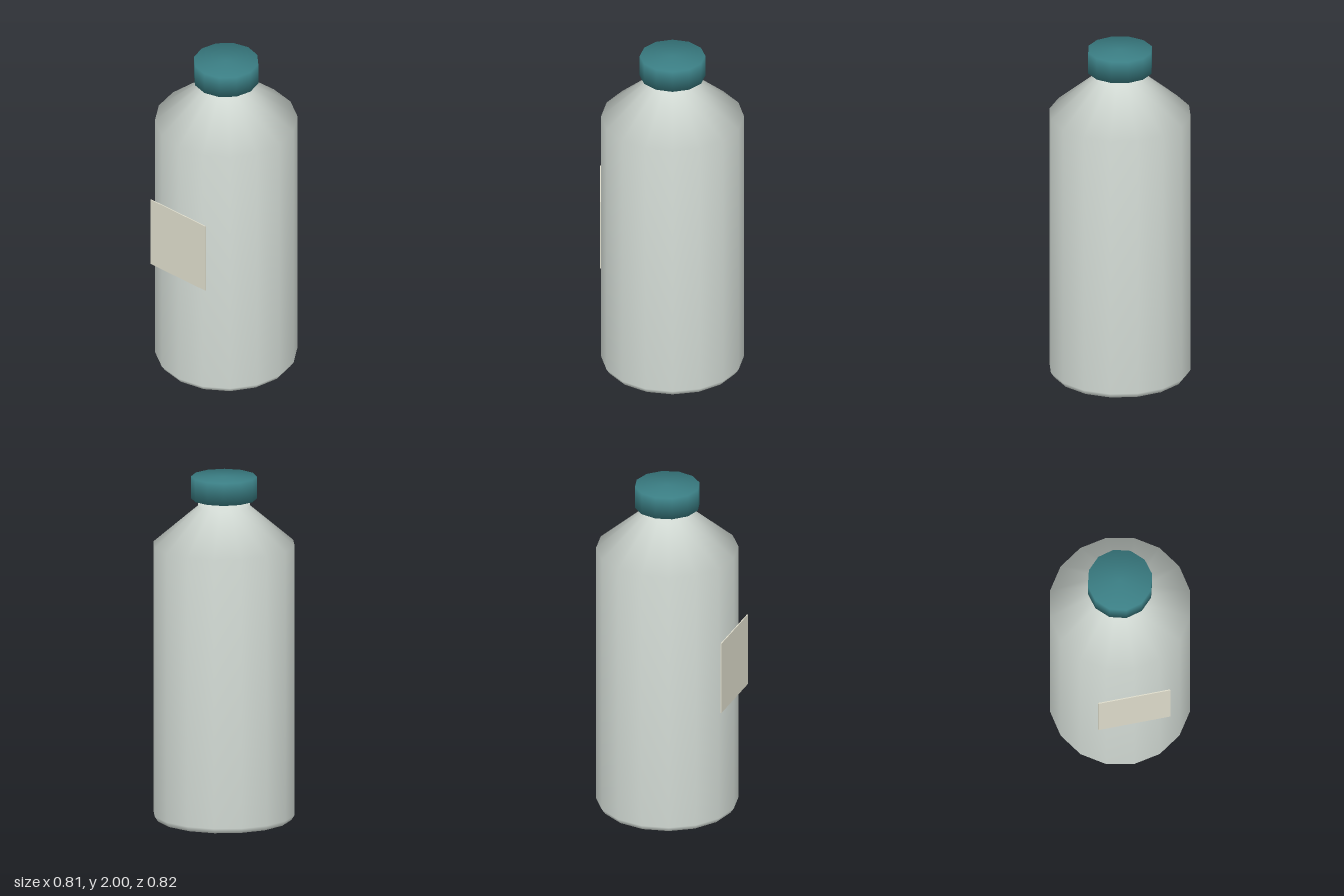
import * as THREE from 'three';

const CENTER_Z = -0.003;

// Smooth-shaded solid of revolution from [radius, height] pairs, bottom to top
function turned(name, profile, sides, color) {
  const points = profile.map(([r, y]) => new THREE.Vector2(r, y));
  const mesh = new THREE.Mesh(
    new THREE.LatheGeometry(points, sides),
    new THREE.MeshStandardMaterial({ color })
  );
  mesh.name = name;
  mesh.position.z = CENTER_Z;
  return mesh;
}

export function createModel() {
  const group = new THREE.Group();
  group.name = 'bottle';

  // Body with bevelled foot, sloping shoulder and neck running into the cap
  group.add(turned('body', [
    [0, 0], [0.36, 0], [0.387, 0], [0.407, 0.03],
    [0.407, 1.605], [0.15, 1.825], [0.15, 1.89], [0, 1.89],
  ], 16, 0xd0d8d2));

  // Twelve-sided screw cap
  group.add(turned('cap', [
    [0, 1.87], [0.187, 1.87], [0.187, 2], [0, 2],
  ], 12, 0x3a7d83));

  // Thin flat label on the front
  const label = new THREE.Mesh(
    new THREE.BoxGeometry(0.418, 0.437, 0.006),
    new THREE.MeshStandardMaterial({ color: 0xdedccb })
  );
  label.name = 'label';
  label.position.set(0, 0.943, 0.407);
  group.add(label);

  return group;
}
